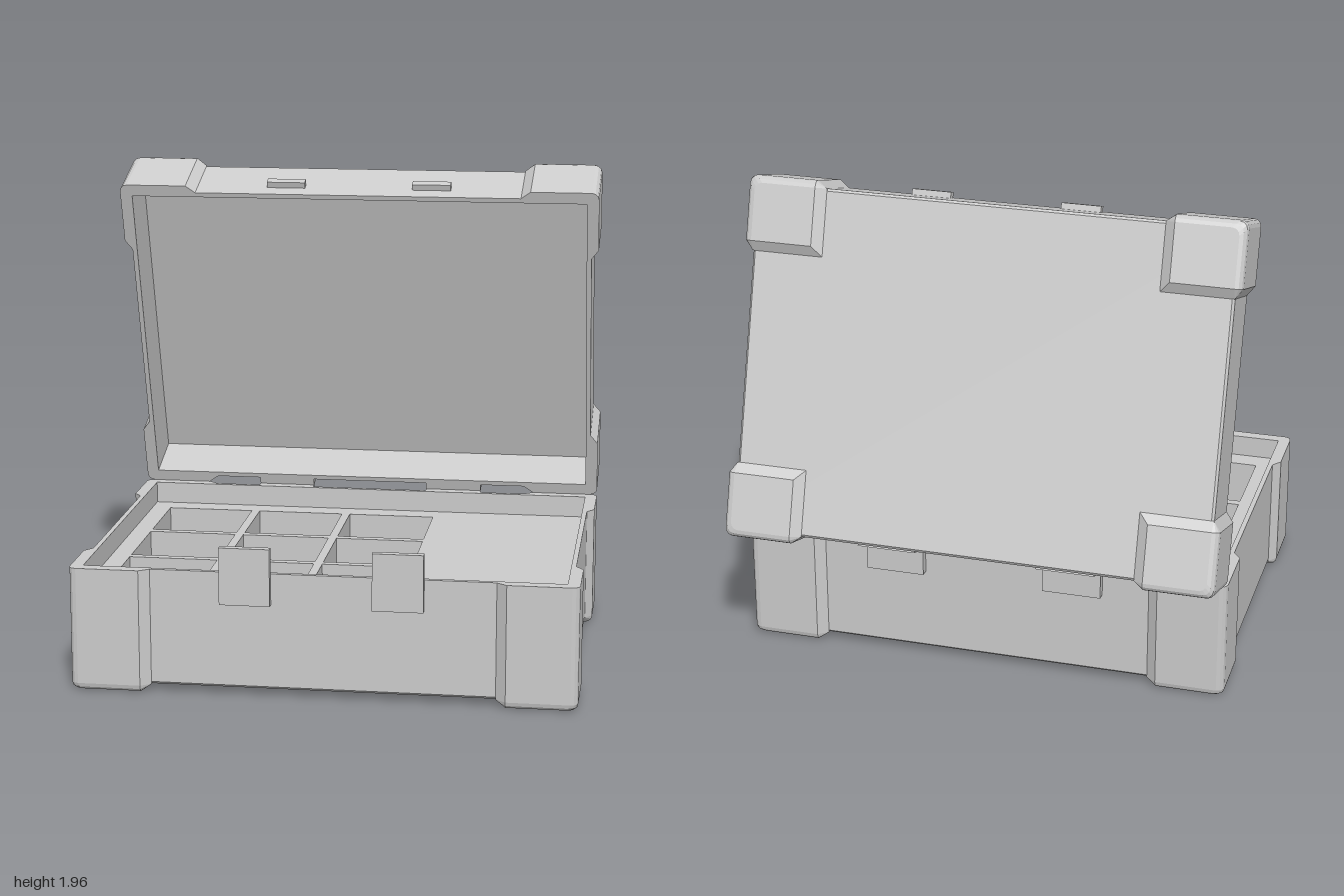
import * as THREE from 'three';
import { ConvexGeometry } from 'three/addons/geometries/ConvexGeometry.js';

const mat = new THREE.MeshStandardMaterial({ color: 0xcccccc, flatShading: true });
const HX = 1, HZ = 0.725;          // half size over the corner guards
const PAD = 0.03;                  // guard thickness
const BX = HX - PAD, BZ = HZ - PAD; // half size of the body
const IX = 0.95, IZ = 0.675;       // half size of the cavity
const GX = 0.32, GZ = 0.3, SLOPE = 0.04; // guard reach and its sloped end

function add(parent, name, geometry, x = 0, y = 0, z = 0) {
  const mesh = new THREE.Mesh(geometry, mat);
  mesh.name = name;
  mesh.position.set(x, y, z);
  parent.add(mesh);
  return mesh;
}

function box(parent, name, w, h, d, x, y, z) {
  return add(parent, name, new THREE.BoxGeometry(w, h, d), x, y, z);
}

// Extrude a plan shape (x, -z) upwards from y0 to y1
function extrudeUp(shape, y0, y1) {
  return new THREE.ExtrudeGeometry(shape, { depth: y1 - y0, bevelEnabled: false })
    .rotateX(-Math.PI / 2).translate(0, y0, 0);
}

function rectPath(x0, z0, x1, z1) {
  return new THREE.Path([[x0, z0], [x1, z0], [x1, z1], [x0, z1]].map(p => new THREE.Vector2(...p)));
}

// Outer edge of one guard in the positive quadrant, from the side to the front
function guardEdge(inset = 0) {
  const pts = [[BX - inset, HZ - GZ], [HX - inset, HZ - GZ + SLOPE]];
  for (let i = 0; i <= 3; i++) {
    const a = i * Math.PI / 6;
    pts.push([HX - inset - PAD * (1 - Math.cos(a)), HZ - inset - PAD * (1 - Math.sin(a))]);
  }
  pts.push([HX - GX + SLOPE, HZ - inset], [HX - GX, BZ - inset]);
  return pts;
}

// Solid end of a guard, rounded outside and sloped on its inner edges
function guardCap(sx, sz) {
  const pts = [];
  const layer = (y, inset) => {
    const slide = SLOPE * Math.max(0, 1 - y / PAD);
    const x0 = HX - GX + slide, z0 = HZ - GZ + slide;
    for (const [x, z] of [...guardEdge(inset), [x0, z0]])
      pts.push(new THREE.Vector3(sx * Math.max(x, x0), y, sz * Math.max(z, z0)));
  };
  for (let i = 0; i <= 3; i++) {
    const a = i * Math.PI / 6;
    layer(PAD * (1 - Math.sin(a)), PAD * (1 - Math.cos(a)));
  }
  layer(0.04, 0);
  return new ConvexGeometry(pts);
}

// Open case half: floor at the bottom, rim at y = height
function caseHalf(name, height, floorTop) {
  const g = new THREE.Group();
  g.name = name;
  const q = guardEdge(), r = [...q].reverse();
  const outline = [
    ...q,
    ...r.map(([x, z]) => [-x, z]),
    ...q.map(([x, z]) => [-x, -z]),
    ...r.map(([x, z]) => [x, -z]),
  ].map(p => new THREE.Vector2(...p));
  const wall = new THREE.Shape(outline);
  wall.holes.push(rectPath(-IX, -IZ, IX, IZ));
  add(g, name + 'Walls', extrudeUp(wall, 0.04, height));

  // floor slab with a slim bevel
  const slab = [];
  for (const [y, inset] of [[PAD, 0.01], [0.04, 0]])
    for (const sx of [-1, 1]) for (const sz of [-1, 1])
      slab.push(new THREE.Vector3(sx * (BX - inset), y, sz * (BZ - inset)));
  add(g, name + 'Bottom', new ConvexGeometry(slab));
  box(g, name + 'Floor', IX * 2 + 0.01, floorTop - 0.035, IZ * 2 + 0.01, 0, (floorTop + 0.035) / 2, 0);

  for (const sx of [-1, 1]) for (const sz of [-1, 1])
    add(g, 'cornerGuard', guardCap(sx, sz));
  return g;
}

export function createModel() {
  const model = new THREE.Group();
  model.name = 'openCase';

  // Base
  const base = caseHalf('base', 0.5, 0.05);
  base.position.z = 0.135;
  model.add(base);

  // Insert with a three by three grid of compartments
  const insert = new THREE.Shape(rectPath(-IX, -IZ, IX, IZ).getPoints());
  for (let i = 0; i < 3; i++) for (let j = 0; j < 3; j++) {
    const x = -0.87 + i * 0.4, z = -0.585 + j * 0.4;
    insert.holes.push(rectPath(x, z, x + 0.365, z + 0.365));
  }
  add(base, 'compartmentInsert', extrudeUp(insert, 0.05, 0.41));

  // Lid, swung open about the rear top edge of the base
  const lid = new THREE.Group();
  lid.name = 'lid';
  lid.position.set(0, 0.5, -0.588);
  lid.rotation.x = THREE.MathUtils.degToRad(-72);
  model.add(lid);
  const lidShell = caseHalf('lidShell', 0.3, 0.07);
  lidShell.rotation.x = Math.PI;
  lidShell.position.set(0, 0.3, HZ);
  lid.add(lidShell);

  for (const s of [-1, 1]) {
    // Latches and the catches they hook over
    box(model, 'latch', 0.2, 0.23, 0.03, s * 0.3, 0.49, 0.845);
    box(lid, 'latchCatch', 0.16, 0.035, 0.03, s * 0.305, 0.08, 1.43);
    // Hinge leaves on base and lid
    box(model, 'hingeBaseLeaf', 0.24, 0.12, 0.035, s * 0.37, 0.44, -0.5775);
    box(lid, 'hingeLidLeaf', 0.24, 0.12, 0.035, s * 0.37, 0.06, 0.0145);
  }
  return model;
}
